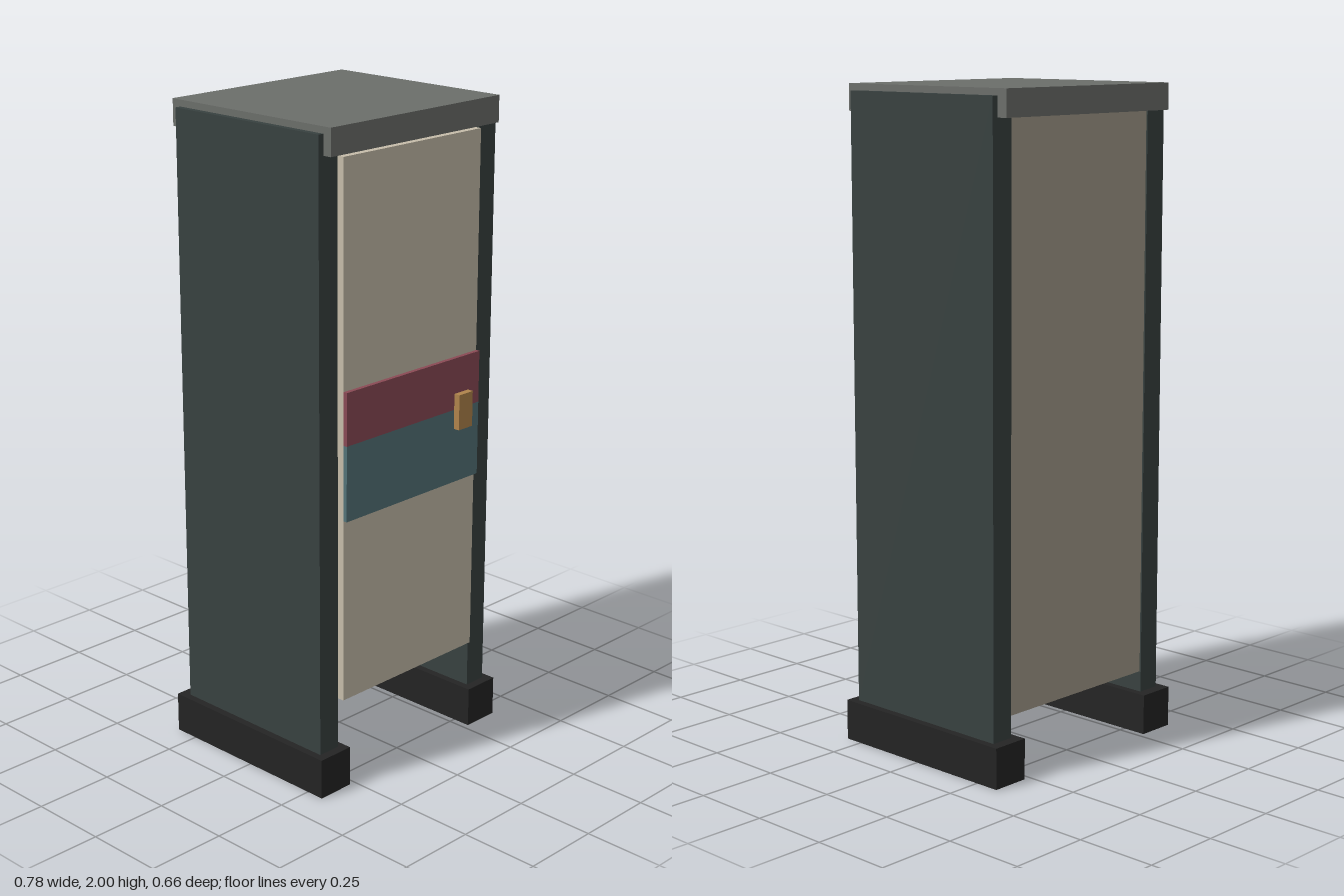
import * as THREE from 'three';

const mat = (name, color) => {
  const m = new THREE.MeshStandardMaterial({ color });
  m.name = name;
  return m;
};

export function createModel() {
  const group = new THREE.Group();
  const slate = mat('dark slate', 0x384140);
  const black = mat('black', 0x242424);
  const grey = mat('grey', 0x6b6e6a);
  const cream = mat('cream', 0xc6bdaa);
  const taupe = mat('taupe', 0xa29b8a);
  const red = mat('dark red', 0x8a4a55);
  const teal = mat('teal', 0x537378);
  const brass = mat('brass', 0xb0844c);

  // Box given by its extents on each axis
  const box = (name, material, [x0, x1], [y0, y1], [z0, z1]) => {
    const mesh = new THREE.Mesh(new THREE.BoxGeometry(x1 - x0, y1 - y0, z1 - z0), material);
    mesh.position.set((x0 + x1) / 2, (y0 + y1) / 2, (z0 + z1) / 2);
    mesh.name = name;
    group.add(mesh);
  };

  // Side panels standing on runner feet
  for (const [side, s] of [['left', 1], ['right', -1]]) {
    const span = (a, b) => (s > 0 ? [a, b] : [-b, -a]);
    box(side + 'SidePanel', slate, span(0.293, 0.367), [0.12, 1.98], [-0.295, 0.28]);
    box(side + 'Foot', black, span(0.27, 0.39), [0, 0.125], [-0.328, 0.308]);
  }

  // Top slab and back panel; the cabinet is open underneath
  box('topSlab', grey, [-0.348, 0.348], [1.92, 2], [-0.328, 0.308]);
  box('backPanel', taupe, [-0.293, 0.293], [0.19, 1.92], [-0.29, -0.26]);

  // Door with two colour bands and a handle
  box('door', cream, [-0.285, 0.285], [0.28, 1.91], [0.265, 0.295]);
  box('upperBand', red, [-0.285, 0.285], [1.08, 1.24], [0.295, 0.308]);
  box('lowerBand', teal, [-0.285, 0.285], [0.85, 1.08], [0.295, 0.308]);
  box('handle', brass, [0.175, 0.235], [1.02, 1.13], [0.3, 0.328]);

  return group;
}
